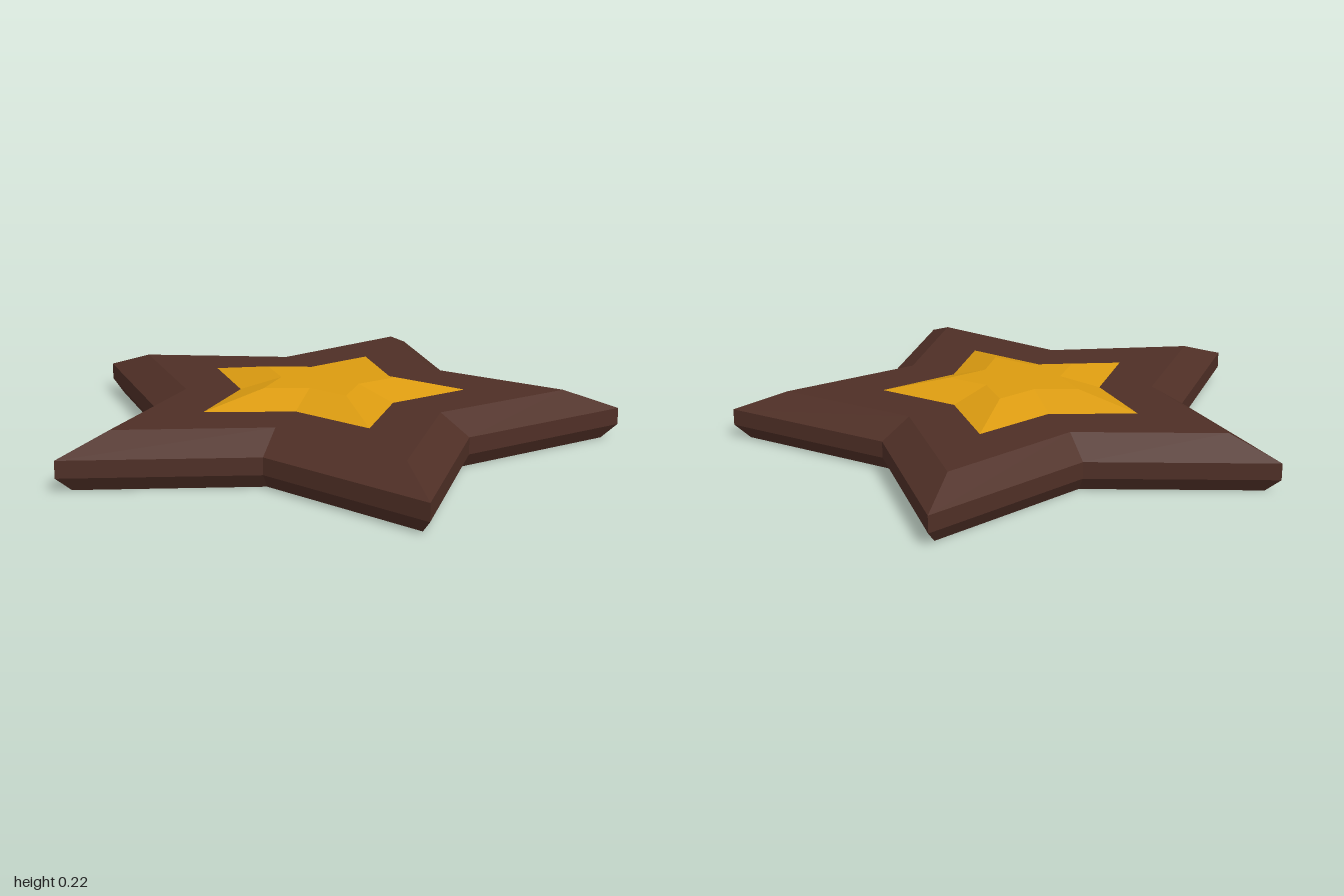
import * as THREE from 'three';

const CENTRE_Z = 0.1; // a five-pointed star's centre is off its bounding-box centre

// Stack of scaled star outlines; rings are [height, scale] from bottom to top, scale 0 closes a cap
function starLoft(tipRadius, notchRadius, rings) {
  const point = ([y, scale], i) => {
    const angle = (i * Math.PI) / 5;
    const r = scale * (i % 2 ? notchRadius : tipRadius);
    return [r * Math.sin(angle), y, CENTRE_Z - r * Math.cos(angle)];
  };
  const positions = [];
  for (let k = 0; k < rings.length - 1; k++) {
    const low = rings[k], up = rings[k + 1];
    for (let i = 0; i < 10; i++) {
      const a = point(low, i), b = point(low, i + 1);
      const c = point(up, i + 1), d = point(up, i);
      if (low[1] > 0) positions.push(...b, ...a, ...d);
      if (up[1] > 0) positions.push(...b, ...d, ...c);
      else if (low[1] === 0) continue;
    }
  }
  const geometry = new THREE.BufferGeometry();
  geometry.setAttribute('position', new THREE.Float32BufferAttribute(positions, 3));
  geometry.computeVertexNormals();
  return geometry;
}

export function createModel() {
  const brown = new THREE.MeshStandardMaterial({ color: 0x4f2f26, flatShading: true });
  brown.name = 'dark brown';
  const gold = new THREE.MeshStandardMaterial({ color: 0xdb9b10, flatShading: true });
  gold.name = 'gold';

  const group = new THREE.Group();
  group.name = 'star';

  // Thick base with a small lower bevel and a wide upper bevel
  const base = new THREE.Mesh(
    starLoft(1.0515, 0.607, [[0, 0], [0, 0.945], [0.05, 1], [0.11, 1], [0.177, 0.81], [0.177, 0]]),
    brown
  );
  base.name = 'starBase';

  // Raised inlay sloping up to a flat half-size top
  const inlay = new THREE.Mesh(
    starLoft(0.5, 0.297, [[0.177, 1], [0.222, 0.51], [0.222, 0]]),
    gold
  );
  inlay.name = 'starInlay';

  group.add(base, inlay);
  return group;
}
